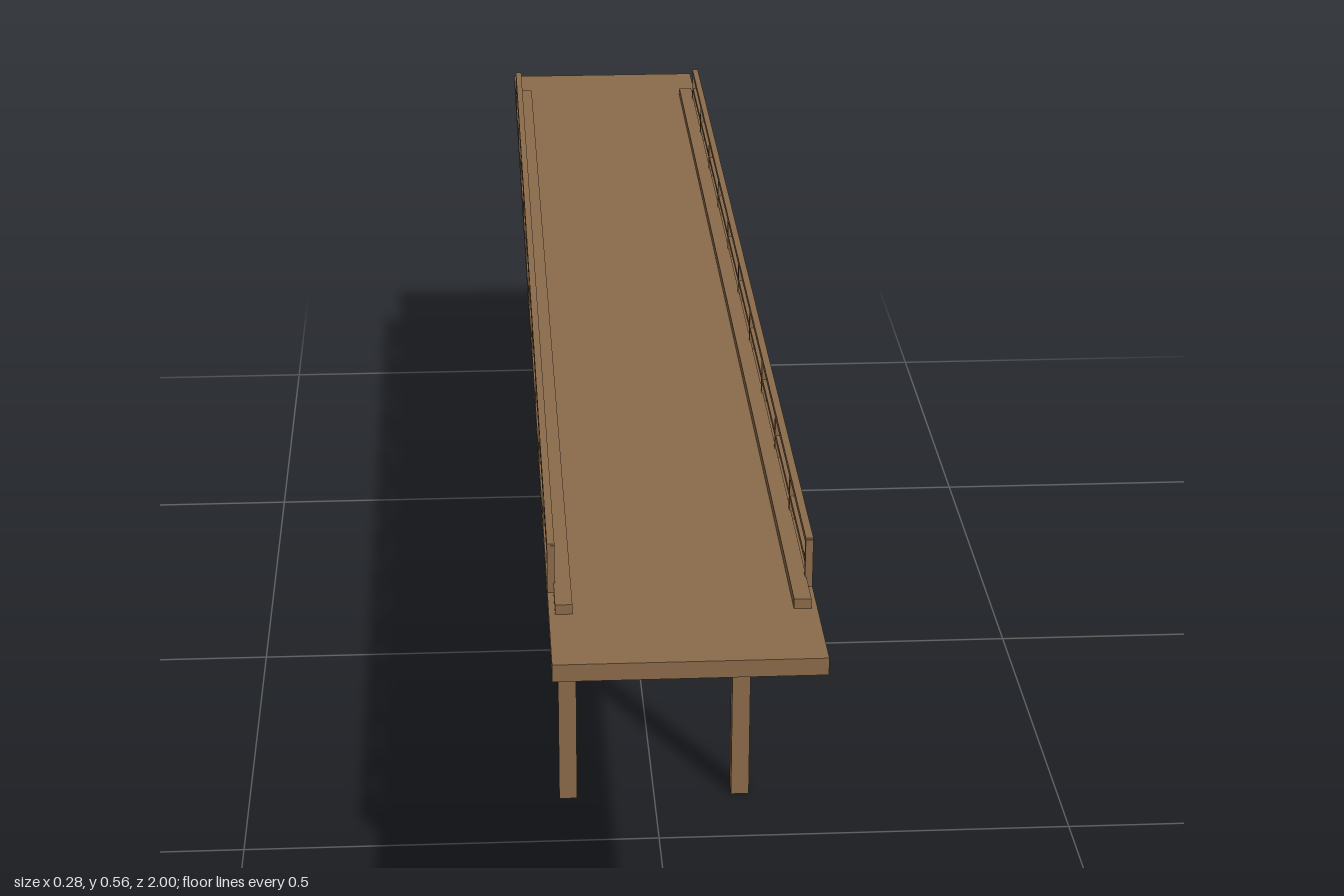
import * as THREE from 'three';

export function createModel() {
  const bridge = new THREE.Group();
  bridge.name = 'footbridge';
  const wood = new THREE.MeshStandardMaterial({ color: 0x8b6b4a });
  wood.name = 'brown wood';

  // Box with its centre in x and z, and its bottom and top heights
  function beam(name, parent, x, z, bottom, top, width, length) {
    const mesh = new THREE.Mesh(new THREE.BoxGeometry(width, top - bottom, length), wood);
    mesh.name = name;
    mesh.position.set(x, (bottom + top) / 2, z);
    parent.add(mesh);
  }

  const deckTop = 0.502, deckBottom = 0.483;
  beam('deck', bridge, 0, 0, deckBottom, deckTop, 0.278, 2);

  // Supports: a cross beam on two legs
  for (const z of [-0.388, 0, 0.388]) {
    const support = new THREE.Group();
    support.name = 'support';
    beam('crossBeam', support, 0, z, 0.466, deckBottom, 0.254, 0.017);
    for (const side of [-1, 1]) beam('leg', support, side * 0.1065, z, 0, 0.475, 0.022, 0.022);
    bridge.add(support);
  }

  // Long stringers, curbs and railings on both sides
  for (const side of [-1, 1]) {
    const label = side > 0 ? 'left' : 'right';
    beam(label + 'Stringer', bridge, side * 0.1065, 0, 0.457, deckBottom, 0.017, 1.886);
    beam(label + 'Curb', bridge, side * 0.1235, 0, deckTop, 0.513, 0.018, 1.777);

    const railing = new THREE.Group();
    railing.name = label + 'Railing';
    const x = side * 0.135;
    for (let i = -5; i <= 5; i++) beam('railPost', railing, x, i * 0.1667, deckTop, 0.556, 0.008, 0.008);
    beam('topRail', railing, x, 0, 0.551, 0.558, 0.008, 1.674);
    beam('middleRail', railing, x, 0, 0.524, 0.53, 0.0065, 1.667);
    bridge.add(railing);
  }
  return bridge;
}
